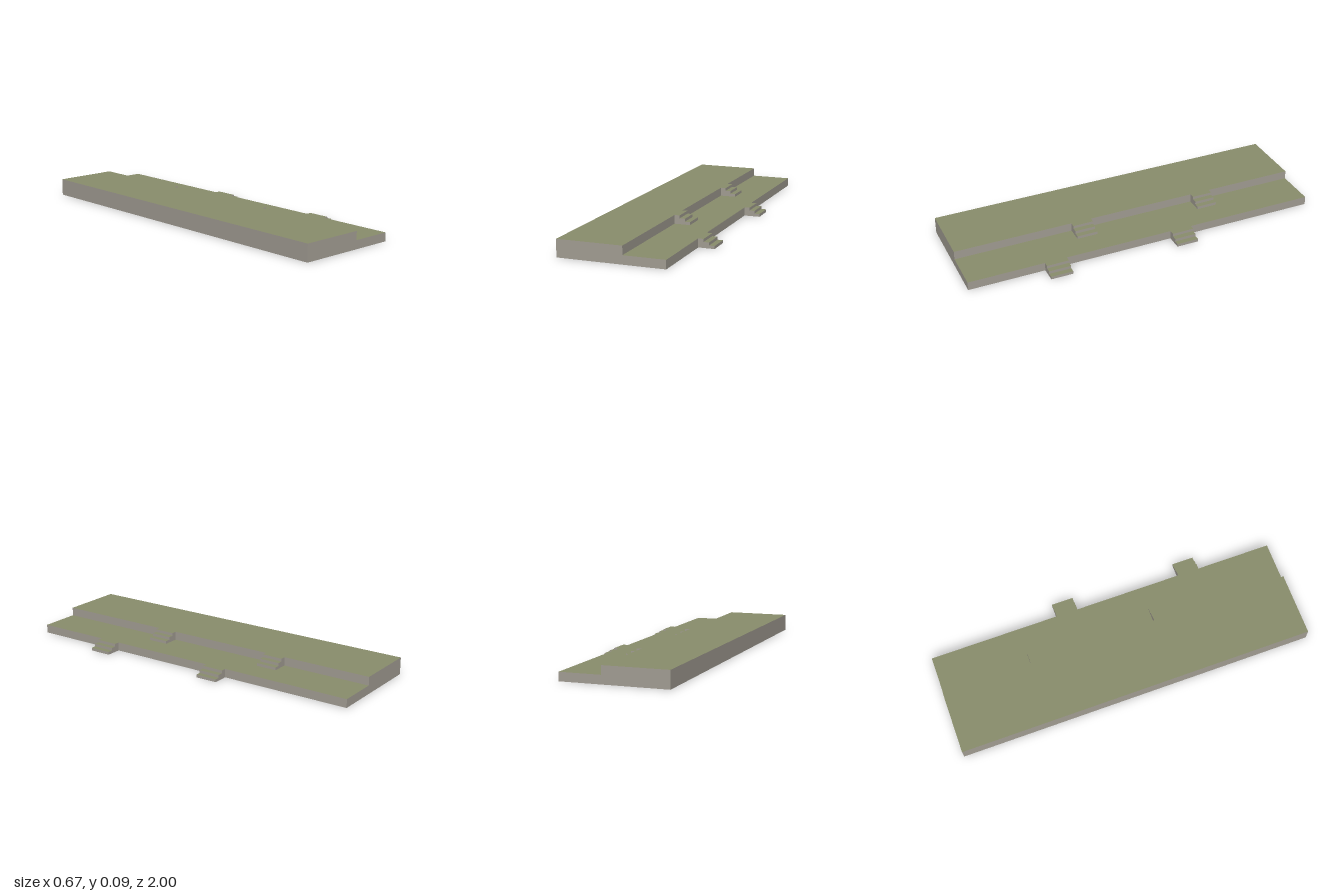
import * as THREE from 'three';

const stone = new THREE.MeshStandardMaterial({ color: 0xa39e94 });
stone.name = 'stone';
const grass = new THREE.MeshStandardMaterial({ color: 0x8a8e6c });
grass.name = 'grass';

// Extrudes an x/y profile from z0 to z1; upward faces are grass, all others stone
function block(name, profile, z0, z1) {
  const shape = new THREE.Shape(profile.map(([x, y]) => new THREE.Vector2(x, y)));
  const geometry = new THREE.ExtrudeGeometry(shape, { depth: z1 - z0, bevelEnabled: false });
  geometry.translate(0, 0, z0);
  geometry.clearGroups();
  const normal = geometry.attributes.normal;
  for (let i = 0; i < normal.count; i += 3) {
    geometry.addGroup(i, 3, normal.getY(i) > 0.5 ? 1 : 0);
  }
  const mesh = new THREE.Mesh(geometry, [stone, grass]);
  mesh.name = name;
  return mesh;
}

// Three-tread stair profile descending towards +x from a wall
function stairProfile(wallX, baseY, rise, run) {
  const points = [[wallX, baseY], [wallX + 3 * run, baseY]];
  for (let i = 1; i <= 3; i++) {
    points.push([wallX + (4 - i) * run, baseY + i * rise]);
    points.push([wallX + (3 - i) * run, baseY + i * rise]);
  }
  return points;
}

export function createModel() {
  const model = new THREE.Group();
  model.name = 'steppedTerrace';
  const left = -0.333, upperEdge = 0.02, lowerEdge = 0.245;
  const level = 0.047, rise = level / 3, run = 0.0292;

  // Two-level platform
  model.add(block('terrace', [
    [left, 0], [lowerEdge, 0], [lowerEdge, level],
    [upperEdge, level], [upperEdge, 2 * level], [left, 2 * level],
  ], -1, 1));

  // Stairs from the upper level to the lower one
  for (const z of [-0.498, 0.225]) {
    model.add(block('upperStair', stairProfile(upperEdge, level, rise, run), z, z + 0.115));
  }
  // Stairs from the lower level to the ground
  for (const z of [-0.272, 0.456]) {
    model.add(block('lowerStair', stairProfile(lowerEdge, 0, rise, run), z, z + 0.123));
  }
  return model;
}
